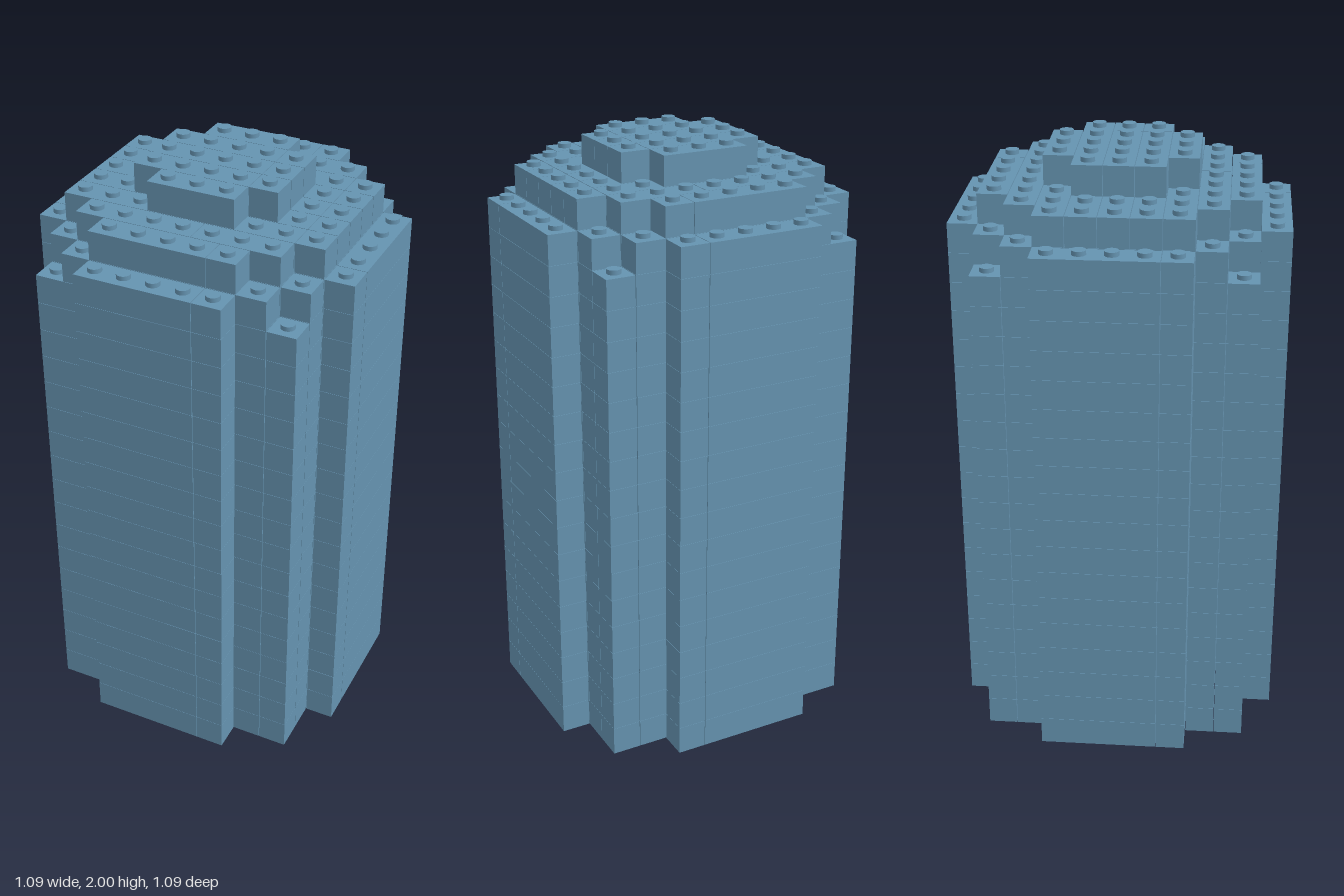
import * as THREE from 'three';
import { mergeGeometries } from 'three/addons/utils/BufferGeometryUtils.js';

const CELL = 0.0991, COURSE = 0.09925, GAP = 0.002, COURSES = 20;
const STUD_R = 0.023, STUD_H = 0.015;

// Number of courses stacked on a grid cell (x, z from -5 to 5)
function cellHeight(x, z) {
  const a = Math.max(Math.abs(x), Math.abs(z));
  const b = Math.min(Math.abs(x), Math.abs(z));
  if (a === 5) return b <= 2 ? 18 : 0;             // projecting wall slabs
  if (a === 4) return b === 4 ? 17 : b === 3 ? 18 : 19; // corners and upper ring
  if (a === 3) return 19;
  return a === 2 && b === 2 ? 19 : 20;             // cross-shaped crown
}

// One brick covering nx by nz cells, with its lowest cell at (x, z)
function brick(x, z, nx, nz, level) {
  const g = new THREE.BoxGeometry(nx * CELL - GAP, COURSE - GAP / 2, nz * CELL - GAP);
  return g.translate((x + (nx - 1) / 2) * CELL, (level + 0.5) * COURSE, (z + (nz - 1) / 2) * CELL);
}

// Split a line of cells into bricks up to four cells long
function runs(filled, from, to, emit) {
  for (let i = from; i <= to;) {
    let n = 0;
    while (n < 4 && i + n <= to && filled(i + n)) n++;
    if (n) emit(i, n);
    i += Math.max(n, 1);
  }
}

function buildCourse(level) {
  const parts = [];
  const has = (x, z) => cellHeight(x, z) > level;
  // Rows running across the width
  for (let z = -5; z <= 5; z++) {
    runs((x) => has(x, z), -4, 4, (x, n) => parts.push(brick(x, z, n, 1, level)));
  }
  // Side slabs running front to back
  for (const x of [-5, 5]) {
    runs((z) => has(x, z), -2, 2, (z, n) => parts.push(brick(x, z, 1, n, level)));
  }
  return mergeGeometries(parts);
}

// Studs on the exposed top of every cell
function buildStuds() {
  const parts = [];
  for (let x = -5; x <= 5; x++) {
    for (let z = -5; z <= 5; z++) {
      const h = cellHeight(x, z);
      if (!h) continue;
      const stud = new THREE.CylinderGeometry(STUD_R, STUD_R, STUD_H, 20);
      parts.push(stud.translate(x * CELL, h * COURSE + STUD_H / 2, z * CELL));
    }
  }
  return mergeGeometries(parts);
}

export function createModel() {
  const model = new THREE.Group();
  model.name = 'brickTower';
  const blue = new THREE.MeshStandardMaterial({ color: 0x6593b0 });
  blue.name = 'dusty blue';

  for (let level = 0; level < COURSES; level++) {
    const course = new THREE.Mesh(buildCourse(level), blue);
    course.name = `brickCourse${level + 1}`;
    model.add(course);
  }

  const studs = new THREE.Mesh(buildStuds(), blue);
  studs.name = 'studs';
  model.add(studs);
  return model;
}
